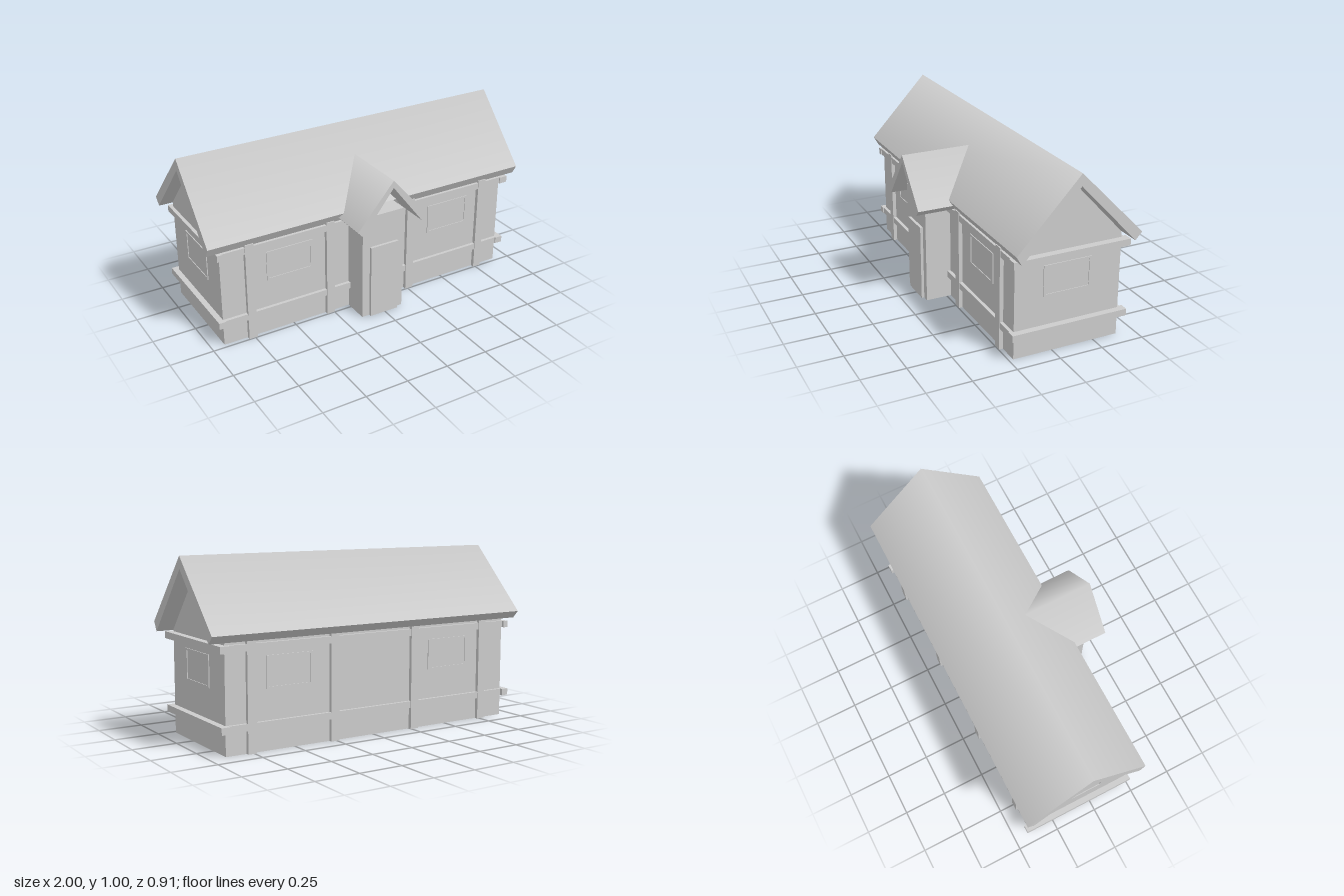
import * as THREE from 'three';

const material = new THREE.MeshStandardMaterial({ color: 0xcccccc });

function add(parent, name, geometry) {
  const mesh = new THREE.Mesh(geometry, material);
  mesh.name = name;
  parent.add(mesh);
  return mesh;
}

// Box given by its minimum and maximum on each axis
function box(parent, name, [x0, x1], [y0, y1], [z0, z1]) {
  const mesh = add(parent, name, new THREE.BoxGeometry(x1 - x0, y1 - y0, z1 - z0));
  mesh.position.set((x0 + x1) / 2, (y0 + y1) / 2, (z0 + z1) / 2);
  return mesh;
}

// Outline extruded along z from z0 to z1
function prism(points, z0, z1) {
  const shape = new THREE.Shape(points.map(([a, b]) => new THREE.Vector2(a, b)));
  return new THREE.ExtrudeGeometry(shape, { depth: z1 - z0, bevelEnabled: false }).translate(0, 0, z0);
}

// Outline of (z, y) points extruded along x from x0 to x1
function sidePrism(points, x0, x1) {
  return prism(points.map(([z, y]) => [-z, y]), x0, x1).rotateY(Math.PI / 2);
}

// Shade softly over the ridge by pointing the ridge normals straight up
function softenRidge(geometry, ridgeY) {
  const { position, normal } = geometry.attributes;
  for (let i = 0; i < position.count; i++) {
    if (Math.abs(position.getY(i) - ridgeY) < 1e-4 && normal.getY(i) > 0.3) normal.setXYZ(i, 0, 1, 0);
  }
  return geometry;
}

// Window facing +z: a thin frame around a slightly recessed pane
function makeWindow(name, x, z, turn) {
  const group = new THREE.Group();
  group.name = name;
  const w = 0.14, h = 0.0875;
  const frame = new THREE.Shape([[-w, -h], [w, -h], [w, h], [-w, h]].map(p => new THREE.Vector2(...p)));
  const a = w - 0.014, b = h - 0.011;
  frame.holes.push(new THREE.Path([[-a, -b], [-a, b], [a, b], [a, -b]].map(p => new THREE.Vector2(...p))));
  add(group, 'windowFrame', new THREE.ExtrudeGeometry(frame, { depth: 0.015, bevelEnabled: false })).position.z = -0.01;
  box(group, 'windowPane', [-a, a], [-b, b], [-0.01, 0.001]);
  group.position.set(x, 0.4125, z);
  group.rotation.y = turn;
  return group;
}

export function createModel() {
  const house = new THREE.Group();
  house.name = 'house';
  const left = 0.905, right = -0.925, front = 0.225, back = -0.395, ridge = -0.087;

  // Walls with gable ends
  add(house, 'walls', sidePrism(
    [[front, 0], [front, 0.58], [ridge, 0.932], [back, 0.6], [back, 0]], right, left));

  // Main roof
  add(house, 'mainRoof', softenRidge(sidePrism(
    [[0.265, 0.627], [ridge, 1.003], [-0.455, 0.627], [-0.417, 0.585], [ridge, 0.935], [0.235, 0.575]],
    -1, 1), 1.003));

  // Upright timbers on the long walls
  for (const x of [-0.76, -0.27, 0.26, 0.762]) {
    box(house, 'frontPost', [x - 0.025, x + 0.025], [0, 0.585], [front - 0.01, 0.247]);
    box(house, 'backPost', [x - 0.025, x + 0.025], [0, 0.59], [-0.415, back + 0.01]);
  }

  // Horizontal timbers running round the house
  for (const [name, y0, y1, x0, x1] of [
    ['lower', 0.122, 0.16, -0.957, 0.942], ['upper', 0.532, 0.57, -0.945, 0.945]]) {
    box(house, name + 'FrontBeam', [x0, x1], [y0, y1], [front - 0.01, 0.244]);
    box(house, name + 'BackBeam', [x0, x1], [y0, y1], [-0.412, back + 0.01]);
    box(house, name + 'LeftBeam', [left - 0.01, x1], [y0, y1], [-0.428, 0.25]);
    box(house, name + 'RightBeam', [x0, right + 0.01], [y0, y1], [-0.428, 0.25]);
  }

  // Windows: two on each long wall, one on each end
  for (const x of [-0.515, 0.53]) {
    house.add(makeWindow('frontWindow', x, front, 0));
    house.add(makeWindow('backWindow', x, back, Math.PI));
  }
  house.add(makeWindow('leftWindow', left, -0.08, Math.PI / 2));
  house.add(makeWindow('rightWindow', right, -0.08, -Math.PI / 2));

  // Porch with its door and small gabled roof
  box(house, 'porch', [-0.142, 0.122], [0, 0.627], [front - 0.02, 0.375]);
  box(house, 'door', [-0.095, 0.082], [0, 0.44], [0.365, 0.391]);
  add(house, 'porchRoof', softenRidge(prism(
    [[-0.22, 0.6], [-0.19, 0.567], [0, 0.812], [0.19, 0.567], [0.22, 0.6], [0, 0.855]],
    0, 0.455), 0.855));

  return house;
}
